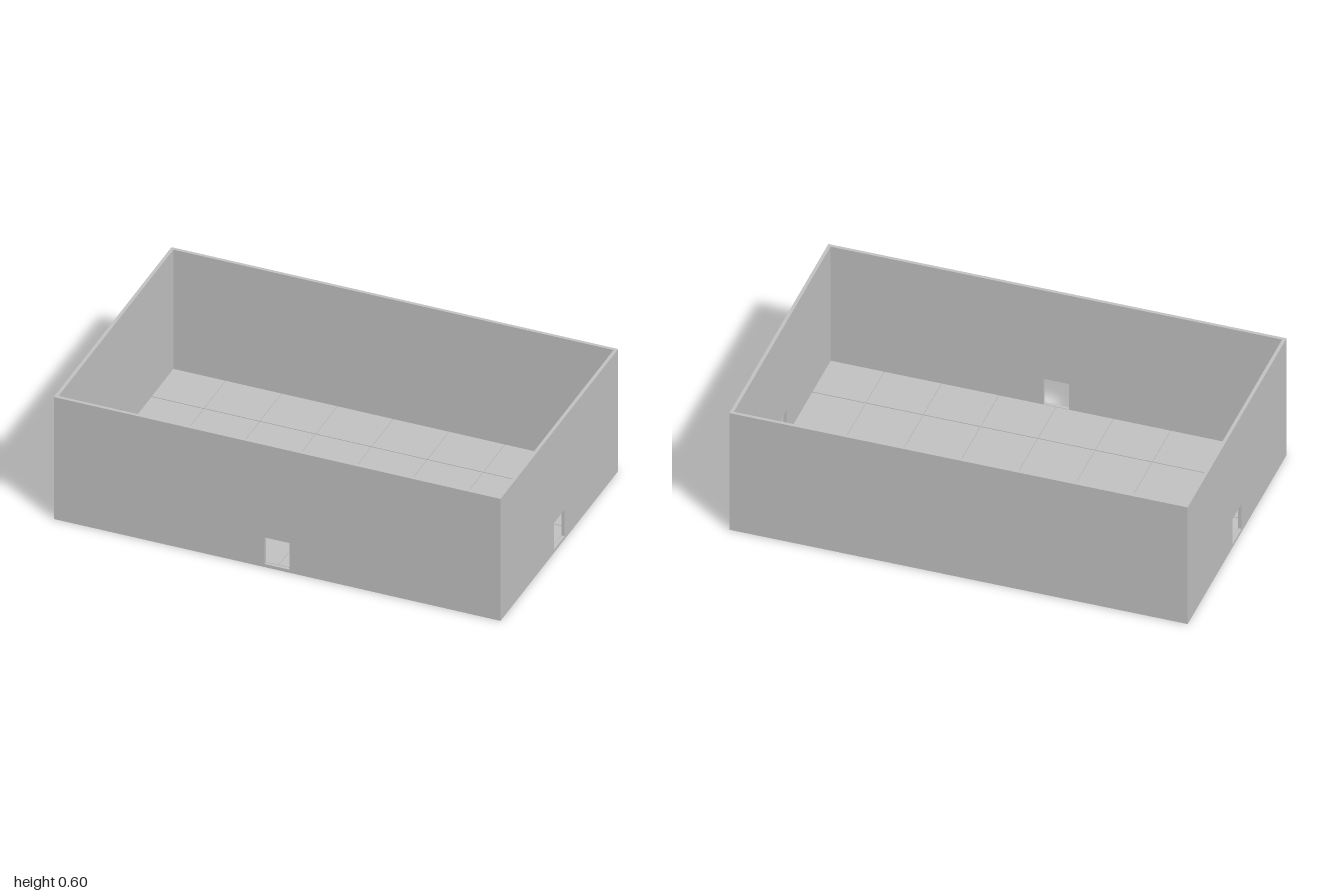
import * as THREE from 'three';

const W = 2, D = 1.245, H = 0.597;   // outer size
const T = 0.015;                     // wall thickness
const BASE = 0.011, FLOOR = 0.015;   // slab top and tile top
const DOOR_W = 0.112, DOOR_TOP = 0.145;

// Upright wall panel, centred on its length, optionally with a doorway
function wallGeometry(length, hasDoor) {
  const a = length / 2, d = DOOR_W / 2;
  const shape = new THREE.Shape();
  shape.moveTo(-a, 0).lineTo(a, 0).lineTo(a, H).lineTo(-a, H).closePath();
  if (hasDoor) {
    const hole = new THREE.Path();
    hole.moveTo(-d, FLOOR).lineTo(-d, DOOR_TOP).lineTo(d, DOOR_TOP).lineTo(d, FLOOR).closePath();
    shape.holes.push(hole);
  }
  const g = new THREE.ExtrudeGeometry(shape, { depth: T, bevelEnabled: false });
  return g.translate(0, 0, -T / 2);
}

export function createModel() {
  const model = new THREE.Group();
  const concrete = new THREE.MeshStandardMaterial({ color: 0xc0c0c0 });
  concrete.name = 'concrete grey';

  const add = (name, geometry, x, y, z, turn = 0) => {
    const mesh = new THREE.Mesh(geometry, concrete);
    mesh.name = name;
    mesh.position.set(x, y, z);
    mesh.rotation.y = turn;
    model.add(mesh);
  };

  // Walls: doorways in the front and both ends, solid back
  const zw = (D - T) / 2, xw = (W - T) / 2;
  add('frontWall', wallGeometry(W, true), 0, 0, zw);
  add('backWall', wallGeometry(W, false), 0, 0, -zw);
  add('leftWall', wallGeometry(D - 2 * T, true), xw, 0, 0, Math.PI / 2);
  add('rightWall', wallGeometry(D - 2 * T, true), -xw, 0, 0, Math.PI / 2);

  // Base slab inside the walls
  add('baseSlab', new THREE.BoxGeometry(W - 2 * T, BASE, D - 2 * T), 0, BASE / 2, 0);

  // Floor tiles on a quarter-unit grid, trimmed at the walls
  const xEnd = W / 2 - T, zEnd = D / 2 - T;
  const edges = (n, end) => Array.from({ length: n + 1 }, (_, i) =>
    THREE.MathUtils.clamp((i - n / 2) * 0.25, -end, end));
  const xs = edges(8, xEnd), zs = edges(5, zEnd);
  for (let i = 0; i < 8; i++) {
    for (let j = 0; j < 5; j++) {
      const w = xs[i + 1] - xs[i] - 0.002, d = zs[j + 1] - zs[j] - 0.004;
      add('floorTile', new THREE.BoxGeometry(w, FLOOR - BASE, d),
        (xs[i] + xs[i + 1]) / 2, (FLOOR + BASE) / 2, (zs[j] + zs[j + 1]) / 2);
    }
  }
  return model;
}
